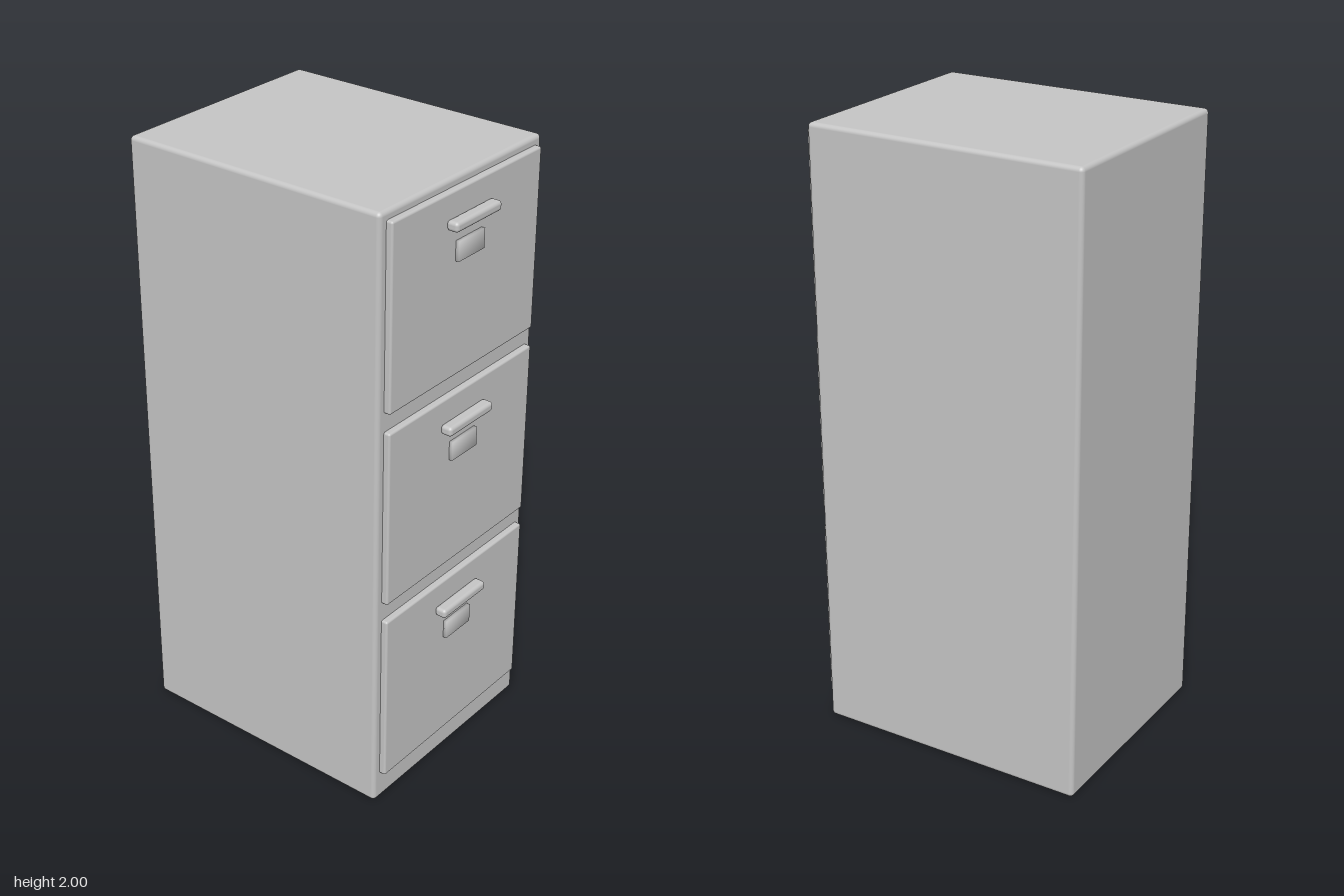
import * as THREE from 'three';
import { RoundedBoxGeometry } from 'three/addons/geometries/RoundedBoxGeometry.js';
import { mergeVertices } from 'three/addons/utils/BufferGeometryUtils.js';

export function createModel() {
  const metal = new THREE.MeshStandardMaterial({ color: 0xc4c4c4 });
  metal.name = 'light grey metal';
  const model = new THREE.Group();
  model.name = 'filingCabinet';

  const add = (parent, name, geometry, x, y, z) => {
    const mesh = new THREE.Mesh(geometry, metal);
    mesh.name = name;
    mesh.position.set(x, y, z);
    parent.add(mesh);
  };

  // Cabinet shell with softly rounded edges
  add(model, 'cabinetBody', new RoundedBoxGeometry(0.764, 2, 0.918, 4, 0.014), 0, 1, -0.029);

  // Shared drawer parts
  const frontPanel = new RoundedBoxGeometry(0.708, 0.584, 0.036, 3, 0.007);
  const handleBar = new RoundedBoxGeometry(0.216, 0.031, 0.04, 4, 0.011);
  // Label holder is a small box with normals blended across its corners
  let labelBox = new THREE.BoxGeometry(0.124, 0.062, 0.02);
  labelBox.deleteAttribute('uv');
  labelBox.deleteAttribute('normal');
  labelBox = mergeVertices(labelBox);
  labelBox.computeVertexNormals();

  // Three identical drawers, bottom to top
  [0.39, 1.036, 1.681].forEach((y, i) => {
    const drawer = new THREE.Group();
    drawer.name = 'drawer' + (i + 1);
    drawer.position.y = y;
    add(drawer, 'drawerFront', frontPanel, 0, 0, 0.433);
    add(drawer, 'handle', handleBar, 0, 0.199, 0.468);
    add(drawer, 'labelHolder', labelBox, 0, 0.108, 0.453);
    model.add(drawer);
  });

  return model;
}
